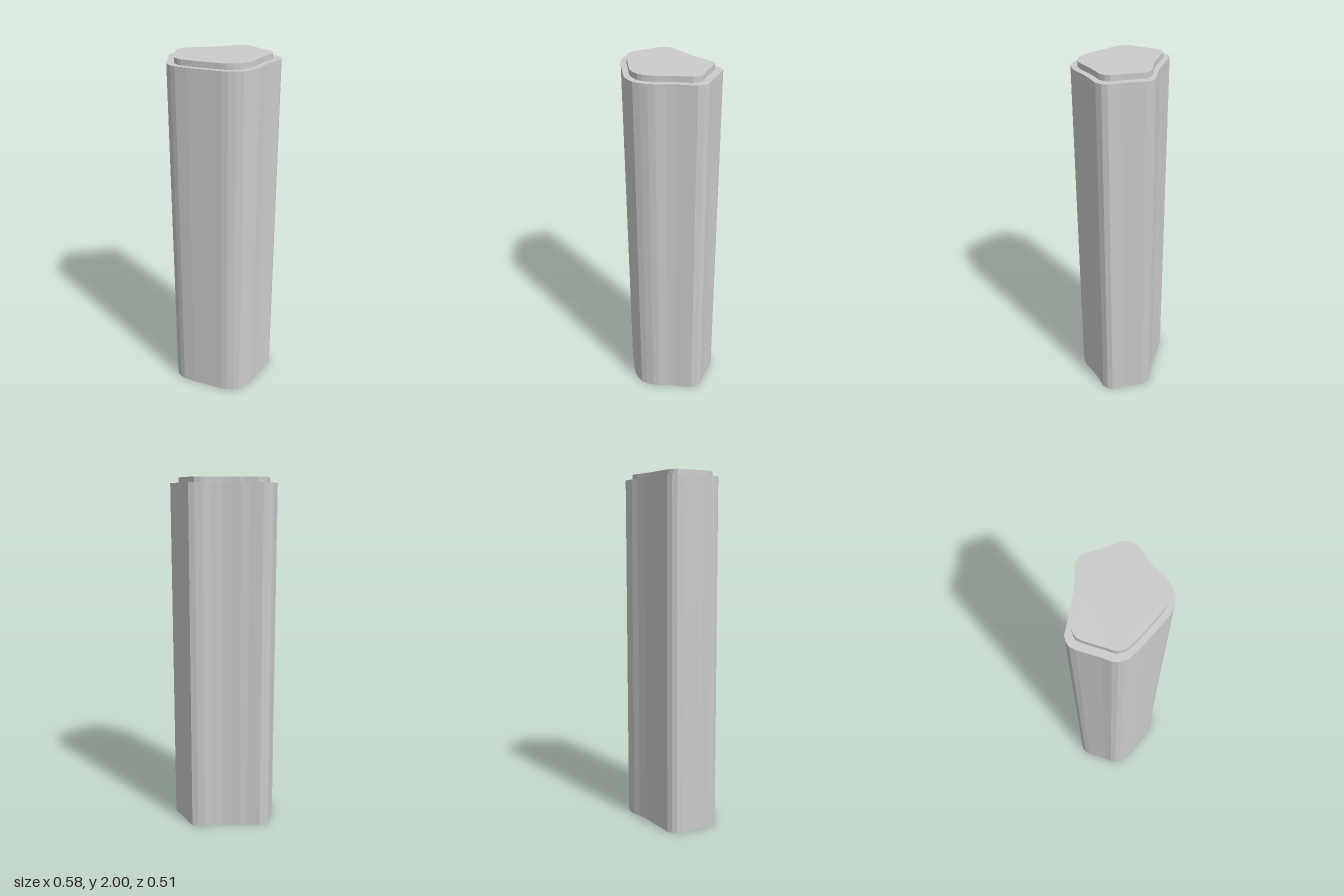
import * as THREE from 'three';

// Outlines as [x, z] corners, running round from the back
const columnOutline = [
  [0.068, -0.254], [0.095, -0.243], [0.198, -0.184], [0.262, -0.155], [0.281, -0.13],
  [0.288, -0.095], [0.262, 0], [0.253, 0.05], [0.249, 0.105], [0.24, 0.14],
  [0.222, 0.178], [0.202, 0.209], [0.17, 0.228], [0.133, 0.243], [0.1, 0.248],
  [0, 0.25], [-0.08, 0.252], [-0.15, 0.248], [-0.178, 0.239], [-0.203, 0.222],
  [-0.22, 0.198], [-0.235, 0.155], [-0.257, 0.105], [-0.272, 0.07], [-0.283, 0.045],
  [-0.29, 0.015], [-0.283, -0.012], [-0.266, -0.037], [-0.2, -0.074], [-0.165, -0.1],
  [-0.125, -0.122], [-0.08, -0.15], [-0.03, -0.19], [0, -0.22], [0.035, -0.243],
];
const capOutline = [
  [0.058, -0.214], [0.08, -0.204], [0.165, -0.156], [0.225, -0.129], [0.241, -0.108],
  [0.247, -0.076], [0.226, 0.01], [0.219, 0.06], [0.215, 0.1], [0.207, 0.131],
  [0.193, 0.16], [0.175, 0.184], [0.146, 0.203], [0.113, 0.215], [0.08, 0.218],
  [0, 0.22], [-0.065, 0.222], [-0.13, 0.218], [-0.15, 0.212], [-0.175, 0.195],
  [-0.188, 0.173], [-0.2, 0.14], [-0.22, 0.095], [-0.234, 0.062], [-0.242, 0.04],
  [-0.248, 0.018], [-0.242, -0.005], [-0.227, -0.028], [-0.17, -0.06], [-0.14, -0.082],
  [-0.107, -0.1], [-0.07, -0.125], [-0.028, -0.16], [0, -0.186], [0.028, -0.205],
];

// Upright prism over an outline, from y = bottom to y = top
function prism(name, outline, bottom, top, material) {
  const shape = new THREE.Shape(outline.map(([x, z]) => new THREE.Vector2(x, -z)));
  const geometry = new THREE.ExtrudeGeometry(shape, { depth: top - bottom, bevelEnabled: false });
  geometry.rotateX(-Math.PI / 2).translate(0, bottom, 0);
  const mesh = new THREE.Mesh(geometry, material);
  mesh.name = name;
  return mesh;
}

export function createModel() {
  const stone = new THREE.MeshStandardMaterial({ color: 0xcccccc, flatShading: true });
  const group = new THREE.Group();
  group.name = 'stonePillar';
  group.add(
    prism('column', columnOutline, 0, 1.97, stone),
    prism('raisedCap', capOutline, 1.97, 2, stone),
  );
  return group;
}
